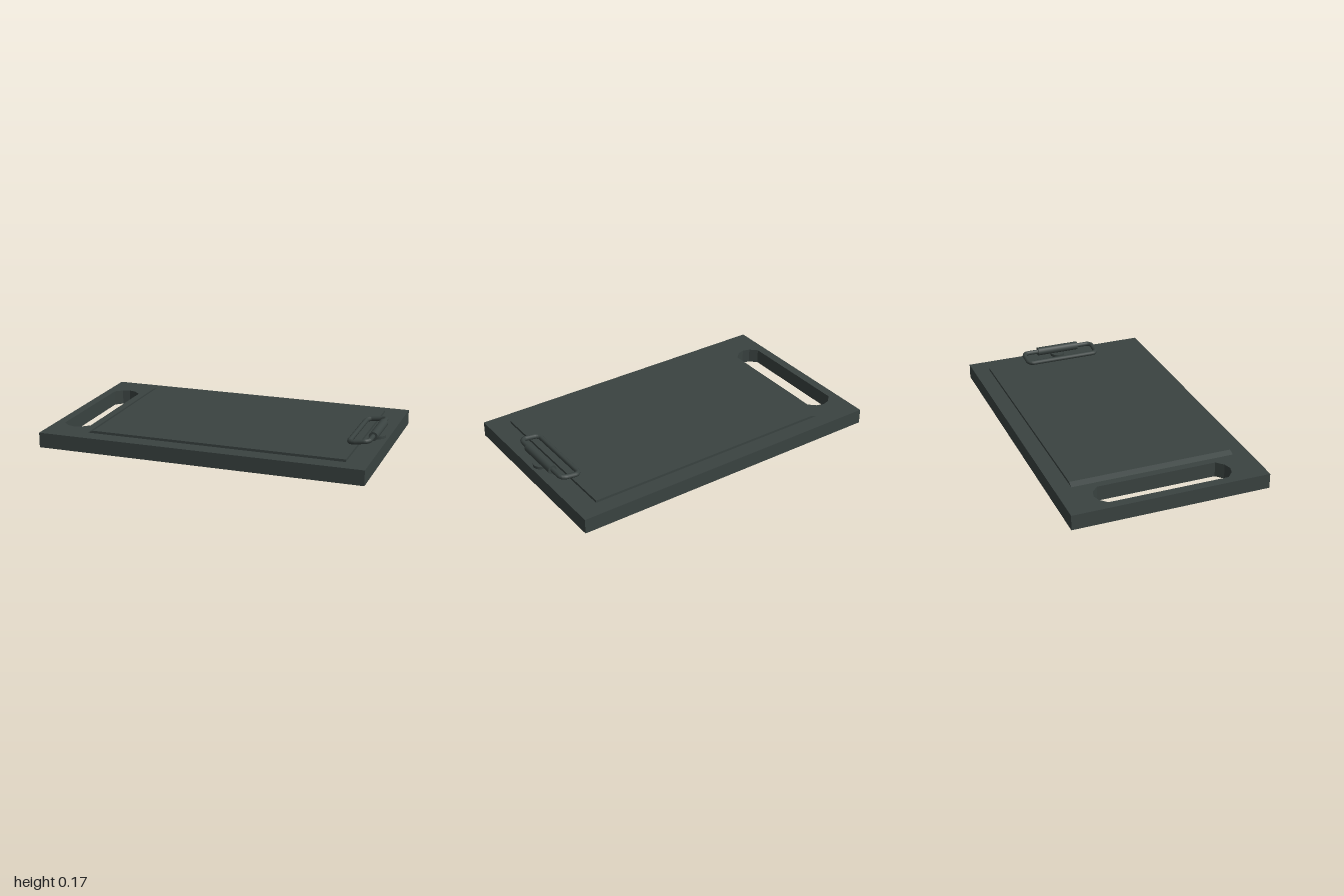
import * as THREE from 'three';

const material = new THREE.MeshStandardMaterial({ color: 0x3a4341 });
const flat = material.clone();
flat.flatShading = true;

function add(group, name, geometry, mat = flat) {
  const mesh = new THREE.Mesh(geometry, mat);
  mesh.name = name;
  group.add(mesh);
  return mesh;
}

export function createModel() {
  const model = new THREE.Group();
  model.name = 'clipboard';
  const boardTop = 0.092, sheetTop = 0.107;

  // Board with a long hand slot whose ends are faceted
  const outline = new THREE.Shape([[-1, -0.6], [1, -0.6], [1, 0.6], [-1, 0.6]].map(p => new THREE.Vector2(...p)));
  const slotEnd = [[0.087, 0.365], [0.045, 0.405], [0, 0.418], [-0.045, 0.405], [-0.087, 0.365]];
  const slot = [...slotEnd, ...slotEnd.map(([x, z]) => [-x, -z])];
  outline.holes.push(new THREE.Path(slot.map(([x, z]) => new THREE.Vector2(x - 0.858, z))));
  const board = new THREE.ExtrudeGeometry(outline, { depth: boardTop, bevelEnabled: false });
  add(model, 'board', board.rotateX(-Math.PI / 2));

  // Raised sheet, ramping down into the board beside the slot
  const profile = new THREE.Shape([
    [-0.73, boardTop - 0.002], [0.867, boardTop - 0.002], [0.867, sheetTop], [-0.69, sheetTop],
  ].map(p => new THREE.Vector2(...p)));
  const sheet = new THREE.ExtrudeGeometry(profile, { depth: 1, bevelEnabled: false });
  add(model, 'raisedSheet', sheet.translate(0, 0, -0.5));

  const clip = new THREE.Group();
  clip.name = 'clip';
  model.add(clip);

  // Round mounting plate under the hinge
  add(clip, 'mountingPlate', new THREE.CylinderGeometry(0.046, 0.046, 0.018, 16), material)
    .position.set(0.938, boardTop + 0.008, 0);

  // Hinge barrel
  add(clip, 'hingeBarrel', new THREE.CylinderGeometry(0.027, 0.027, 0.28, 16).rotateX(Math.PI / 2), material)
    .position.set(0.938, 0.138, 0);

  // Tilted wire loop: a rounded rectangle swept by a round wire
  const xs = [0.815, 0.936], ys = [0.122, 0.138], halfZ = 0.24, r = 0.032;
  const point = (x, z) => new THREE.Vector3(
    x, THREE.MathUtils.mapLinear(x, xs[0], xs[1], ys[0], ys[1]), z);
  const path = [];
  const corners = [[xs[1] - r, halfZ - r], [xs[0] + r, halfZ - r], [xs[0] + r, r - halfZ], [xs[1] - r, r - halfZ]];
  corners.forEach(([x, z], c) => {
    for (let i = 0; i <= 4; i++) {
      const a = (c + i / 4) * Math.PI / 2;
      path.push(point(x + r * Math.cos(a), z + r * Math.sin(a)));
    }
  });
  const wire = new THREE.CurvePath();
  path.forEach((p, i) => wire.add(new THREE.LineCurve3(p, path[(i + 1) % path.length])));
  add(clip, 'wireLoop', new THREE.TubeGeometry(wire, 160, 0.015, 8, true), material);

  return model;
}
